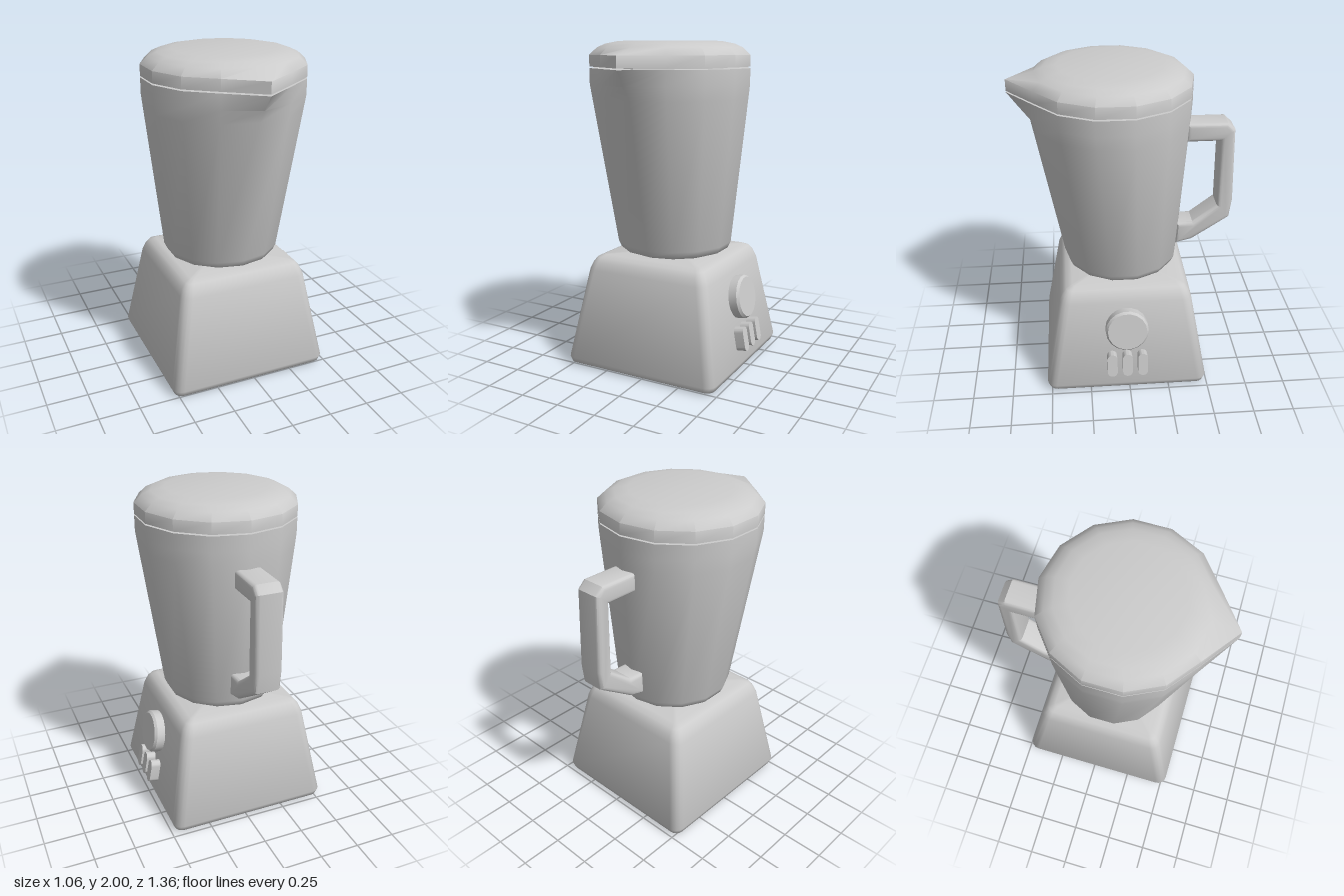
import * as THREE from 'three';
import { toCreasedNormals } from 'three/addons/utils/BufferGeometryUtils.js';

const CX = -0.025, BASE_Z = 0.0175;
const SIDES = 14;

// Closed skin over equal-length rings of points, listed from bottom to top
function loft(rings) {
  const n = rings[0].length, pos = [], index = [];
  rings.forEach(ring => ring.forEach(p => pos.push(...p)));
  for (let j = 0; j < rings.length - 1; j++) {
    for (let i = 0; i < n; i++) {
      const a = j * n + i, b = j * n + (i + 1) % n;
      index.push(a, b, b + n, a, b + n, a + n);
    }
  }
  const cap = (ring, start, up) => {
    const c = pos.length / 3;
    const z = ring.reduce((s, p) => s + p[2], 0) / n;
    pos.push(CX, ring[0][1], z);
    for (let i = 0; i < n; i++) {
      const a = start + i, b = start + (i + 1) % n;
      index.push(c, up ? a : b, up ? b : a);
    }
  };
  cap(rings[0], 0, false);
  cap(rings[rings.length - 1], (rings.length - 1) * n, true);
  const g = new THREE.BufferGeometry();
  g.setAttribute('position', new THREE.Float32BufferAttribute(pos, 3));
  g.setIndex(index);
  return toCreasedNormals(g, 0.9);
}

// Square ring with rounded corners
function squareRing([y, half, r]) {
  const ring = [], steps = 4;
  for (let k = 0; k < 4; k++) {
    const mid = (k + 0.5) * Math.PI / 2;
    for (let s = 0; s <= steps; s++) {
      const a = (k + s / steps) * Math.PI / 2;
      ring.push([
        CX + Math.sign(Math.sin(mid)) * (half - r) + r * Math.sin(a), y,
        BASE_Z + Math.sign(Math.cos(mid)) * (half - r) + r * Math.cos(a)]);
    }
  }
  return ring;
}

// Polygonal ring whose front corner may be pulled out into a spout
function jugRing([y, r, cz, tipZ = cz + r]) {
  return Array.from({ length: SIDES }, (_, i) => {
    const a = i / SIDES * Math.PI * 2;
    return [CX + r * Math.sin(a), y, i === 0 ? tipZ : cz + r * Math.cos(a)];
  });
}

export function createModel() {
  const model = new THREE.Group();
  const material = new THREE.MeshStandardMaterial({ color: 0xcccccc });
  const add = (name, geometry, parent = model) => {
    const mesh = new THREE.Mesh(geometry, material);
    mesh.name = name;
    parent.add(mesh);
    return mesh;
  };

  // Tapered motor base: height, half width, corner radius
  add('motorBase', loft([
    [0, 0.465, 0.03], [0.015, 0.497, 0.05], [0.05, 0.51, 0.06],
    [0.61, 0.41, 0.06], [0.655, 0.392, 0.055], [0.685, 0.368, 0.04], [0.7, 0.33, 0.02],
  ].map(squareRing)));

  // Jug: height, radius, centre z, spout z
  add('jug', loft([
    [0.715, 0.305, 0.0225], [0.73, 0.342, 0.0225], [0.77, 0.361, 0.0225],
    [1.67, 0.477, 0.075], [1.75, 0.487, 0.08, 0.612], [1.843, 0.487, 0.08, 0.68],
  ].map(jugRing)));

  // Lid with its pointed spout cover, and the plug below it
  add('lid', loft([
    [1.852, 0.487, 0.08, 0.68], [1.92, 0.487, 0.08, 0.68],
    [1.963, 0.44, 0.08], [1.985, 0.39, 0.08], [2, 0.31, 0.08],
  ].map(jugRing)));
  add('lidPlug', loft([
    [1.8, 0.35, 0.08, 0.51], [1.87, 0.35, 0.08, 0.51],
  ].map(jugRing)));

  // Handle: side outline (backward distance, height) extruded across its width
  const outline = new THREE.Shape([
    [0.37, 1.525], [0.575, 1.525], [0.58, 1.085], [0.43, 0.97], [0.33, 0.965],
    [0.325, 0.82], [0.43, 0.845], [0.662, 1.0], [0.677, 1.12],
    [0.662, 1.595], [0.615, 1.64], [0.37, 1.64],
  ].map(([u, v]) => new THREE.Vector2(u, v)));
  const bevel = 0.025, width = 0.17;
  const handle = new THREE.ExtrudeGeometry(outline, {
    depth: width - 2 * bevel, bevelSize: bevel, bevelThickness: bevel,
    bevelOffset: -bevel, bevelSegments: 3,
  });
  handle.translate(0, 0, -width / 2 + bevel).rotateY(Math.PI / 2);
  add('handle', toCreasedNormals(handle, 0.6)).position.x = CX;

  // Controls lie on the sloping left side; local x points out of that face
  const controls = new THREE.Group();
  controls.name = 'controls';
  controls.position.set(0.414, 0.445, BASE_Z);
  controls.rotation.z = Math.atan2(0.1, 0.56);
  model.add(controls);

  const knob = new THREE.LatheGeometry([
    [0.134, -0.03], [0.134, 0.052], [0.122, 0.067], [0, 0.067],
  ].map(([r, y]) => new THREE.Vector2(r, y)), 18);
  knob.rotateZ(-Math.PI / 2);
  add('knob', toCreasedNormals(knob, 0.6), controls);

  // Three pill-shaped buttons
  const r = 0.031, reach = 0.045;
  const pill = new THREE.Shape();
  pill.absarc(0, reach, r, 0, Math.PI, false);
  pill.absarc(0, -reach, r, Math.PI, Math.PI * 2, false);
  const button = new THREE.ExtrudeGeometry(pill, { depth: 0.08, bevelEnabled: false, curveSegments: 8 });
  button.translate(0, 0, -0.02).rotateY(Math.PI / 2);
  const buttonGeometry = toCreasedNormals(button, 0.6);
  for (const side of [-1, 0, 1]) {
    add('button', buttonGeometry, controls).position.set(0, -0.24, side * 0.096);
  }

  return model;
}
